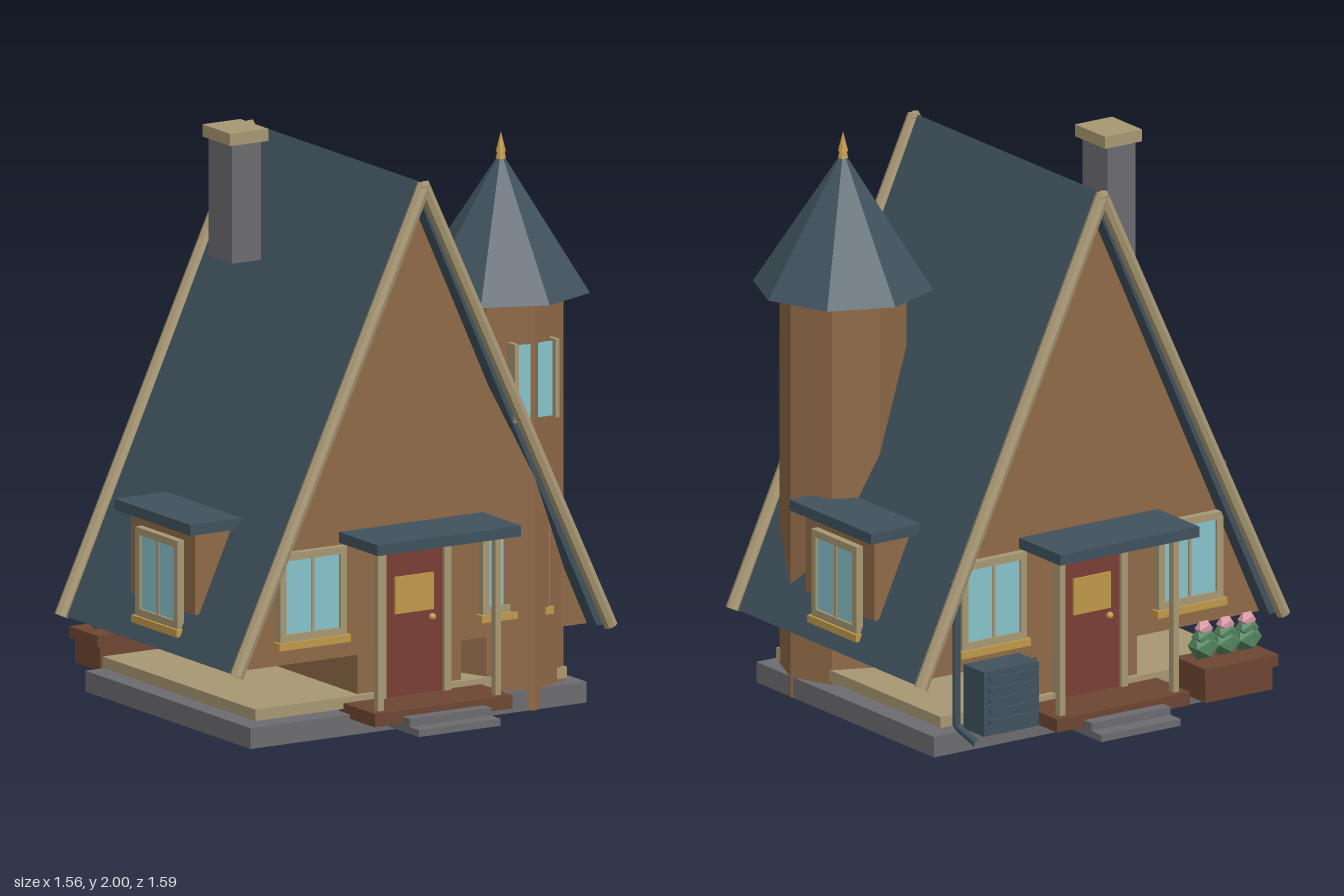
import * as THREE from 'three';

const mat = (name, color) => {
  const m = new THREE.MeshStandardMaterial({ color });
  m.name = name;
  return m;
};

export function createModel() {
  const wall = mat('timber brown', 0x8f6a48);
  const slate = mat('slate blue', 0x40525d);
  const trim = mat('cream trim', 0xa89873);
  const gold = mat('brass gold', 0xc0994a);
  const glass = mat('pale glass', 0x88c3cb);
  const doorRed = mat('door red', 0x7b3e36);
  const stone = mat('stone grey', 0x6c6c70);
  const darkWood = mat('dark wood', 0x6e4632);
  const leaf = mat('leaf green', 0x548560);
  const petal = mat('petal pink', 0xd898a4);

  const house = new THREE.Group();
  house.name = 'house';

  const add = (parent, name, geo, material) => {
    const m = new THREE.Mesh(geo, material);
    m.name = name;
    parent.add(m);
    return m;
  };
  // Box given by its minimum and maximum on each axis
  const box = (parent, name, material, x0, x1, y0, y1, z0, z1) => {
    const m = add(parent, name, new THREE.BoxGeometry(x1 - x0, y1 - y0, z1 - z0), material);
    m.position.set((x0 + x1) / 2, (y0 + y1) / 2, (z0 + z1) / 2);
    return m;
  };
  const faceted = (geo) => {
    const g = geo.toNonIndexed();
    g.computeVertexNormals();
    return g;
  };
  // Faceted cylinder or cone standing at x, y0, z
  const column = (parent, name, material, rTop, rBottom, x, y0, y1, z, sides = 8) => {
    const m = add(parent, name, faceted(new THREE.CylinderGeometry(rTop, rBottom, y1 - y0, sides)), material);
    m.position.set(x, (y0 + y1) / 2, z);
    return m;
  };
  // Outline in x, y extruded evenly about z = 0
  const slab = (name, material, points, depth) => {
    const shape = new THREE.Shape(points.map(([x, y]) => new THREE.Vector2(x, y)));
    const geo = new THREE.ExtrudeGeometry(shape, { depth, bevelEnabled: false });
    geo.translate(0, 0, -depth / 2);
    return add(house, name, geo, material);
  };
  // Two-pane window with sill; its back lies on local z = 0
  const makeWindow = (parent, x, y, z, turn) => {
    const g = new THREE.Group();
    g.name = 'window';
    const w = 0.135, h = 0.155, b = 0.026;
    for (const s of [-1, 1]) {
      const side = s * (w - b / 2), rail = s * (h - b / 2);
      box(g, 'frameSide', trim, side - b / 2, side + b / 2, -h, h, 0, 0.027);
      box(g, 'frameRail', trim, -w + b, w - b, rail - b / 2, rail + b / 2, 0, 0.027);
      const p = s * 0.057;
      box(g, 'pane', glass, p - 0.052, p + 0.052, -h + b, h - b, 0.01, 0.018);
    }
    box(g, 'mullion', trim, -0.006, 0.006, -h + b, h - b, 0, 0.022);
    box(g, 'sill', gold, -0.145, 0.145, -h - 0.026, -h, 0, 0.037);
    g.position.set(x, y, z);
    g.rotation.y = turn;
    parent.add(g);
  };

  // Base, floor and ground-floor core
  box(house, 'foundation', stone, -0.68, 0.68, 0, 0.073, -0.53, 0.53);
  box(house, 'floor', trim, -0.635, 0.625, 0.085, 0.125, -0.49, 0.49);
  box(house, 'lowerCore', wall, -0.21, 0.21, 0.11, 0.28, -0.47, 0.47);

  // Triangular body under two roof slabs
  slab('gableBody', wall, [[-0.712, 0.265], [0.712, 0.265], [0, 1.84]], 0.96);
  for (const s of [-1, 1]) {
    const pts = [[0, 1.91], [0, 1.838], [s * 0.714, 0.268], [s * 0.748, 0.268]];
    slab('roofSlope', slate, s > 0 ? pts : pts.reverse(), 1.08);
  }

  // Faceted poles along the gable edges
  const up = new THREE.Vector3(0, 1, 0);
  for (const z of [-0.562, 0.562]) {
    for (const s of [-1, 1]) {
      const a = new THREE.Vector3(s * 0.757, 0.268, z);
      const b = new THREE.Vector3(-s * 0.004, 1.905, z);
      const d = b.clone().sub(a);
      const pole = add(house, 'gablePole', faceted(new THREE.CylinderGeometry(0.025, 0.025, d.length(), 8)), trim);
      pole.position.copy(a).add(b).multiplyScalar(0.5);
      pole.quaternion.setFromUnitVectors(up, d.normalize());
    }
  }

  // Same entrance on the front and the back
  for (const turn of [0, Math.PI]) {
    const e = new THREE.Group();
    e.name = turn ? 'backEntrance' : 'frontEntrance';
    e.rotation.y = turn;
    house.add(e);
    box(e, 'porchDeck', darkWood, -0.278, 0.278, 0.058, 0.105, 0.46, 0.69);
    box(e, 'upperStep', stone, -0.165, 0.165, 0.055, 0.083, 0.6, 0.735);
    box(e, 'lowerStep', stone, -0.165, 0.165, 0.03, 0.055, 0.6, 0.793);
    box(e, 'porchRoof', slate, -0.29, 0.29, 0.667, 0.705, 0.47, 0.727);
    for (const s of [-1, 1]) {
      box(e, 'porchPost', trim, s * 0.237 - 0.012, s * 0.237 + 0.012, 0.105, 0.667, 0.64, 0.665);
      box(e, 'doorJamb', trim, s * 0.131 - 0.014, s * 0.131 + 0.014, 0.105, 0.65, 0.47, 0.51);
      makeWindow(e, s * 0.41, 0.505, 0.48, 0);
    }
    box(e, 'doorLintel', trim, -0.117, 0.117, 0.62, 0.65, 0.47, 0.51);
    box(e, 'door', doorRed, -0.117, 0.117, 0.105, 0.62, 0.47, 0.497);
    box(e, 'doorPanel', gold, -0.078, 0.078, 0.395, 0.525, 0.497, 0.504);
    add(e, 'doorKnob', new THREE.SphereGeometry(0.013, 10, 8), gold).position.set(0.07, 0.37, 0.508);
  }

  // Side dormers
  for (const s of [-1, 1]) {
    const d = new THREE.Group();
    d.name = 'dormer';
    d.rotation.y = s > 0 ? 0 : Math.PI;
    house.add(d);
    box(d, 'dormerBody', wall, 0.48, 0.7, 0.41, 0.7, -0.205, 0.205);
    box(d, 'dormerRoof', slate, 0.5, 0.742, 0.7, 0.738, -0.243, 0.243);
    makeWindow(d, 0.7, 0.505, 0, Math.PI / 2);
  }

  // Eight-sided corner tower
  const tx = 0.465, tz = 0.32;
  column(house, 'tower', wall, 0.22, 0.22, tx, 0, 1.44, tz);
  column(house, 'towerRoof', slate, 0, 0.313, tx, 1.438, 1.92, tz);
  column(house, 'finialBase', gold, 0.012, 0.018, tx, 1.895, 1.925, tz);
  column(house, 'finialSpike', gold, 0, 0.018, tx, 1.92, 1.99, tz);
  for (const s of [-1, 1]) {
    const x = tx + s * 0.082, p = tx + s * 0.038;
    box(house, 'towerWindowJamb', trim, x - 0.008, x + 0.008, 1.02, 1.295, 0.49, 0.553);
    box(house, 'towerPane', glass, p - 0.036, p + 0.036, 1.025, 1.285, 0.526, 0.534);
  }

  // Chimney
  box(house, 'chimney', stone, -0.35, -0.232, 1.54, 1.958, -0.262, -0.112);
  box(house, 'chimneyCap', trim, -0.366, -0.212, 1.957, 2.0, -0.277, -0.098);

  // Planter with three flowering bushes
  box(house, 'planter', darkWood, -0.61, -0.33, 0.06, 0.16, -0.708, -0.545);
  box(house, 'planterRim', darkWood, -0.625, -0.318, 0.145, 0.186, -0.722, -0.54);
  for (const x of [-0.56, -0.47, -0.38]) {
    const bush = add(house, 'bush', new THREE.IcosahedronGeometry(0.054, 0), leaf);
    bush.position.set(x, 0.236, -0.622);
    const lump = add(house, 'bushTop', new THREE.IcosahedronGeometry(0.042, 0), leaf);
    lump.position.set(x, 0.268, -0.625);
    const bloom = add(house, 'bloom', new THREE.IcosahedronGeometry(0.032, 0), petal);
    bloom.position.set(x, 0.298, -0.625);
  }

  // Cooling unit with louvres
  box(house, 'coolingUnit', slate, 0.34, 0.57, 0.09, 0.32, -0.672, -0.55);
  for (let i = 0; i < 5; i++) {
    const y = 0.13 + i * 0.038;
    box(house, 'louvre', slate, 0.36, 0.55, y, y + 0.016, -0.682, -0.67);
  }

  // Drainpipe
  const pipe = new THREE.CurvePath();
  const bends = [[0.59, 0.6, -0.51], [0.59, 0.59, -0.535], [0.59, 0.095, -0.535], [0.59, 0.06, -0.66]]
    .map((p) => new THREE.Vector3(...p));
  for (let i = 0; i < 3; i++) pipe.add(new THREE.LineCurve3(bends[i], bends[i + 1]));
  const pipeMesh = add(house, 'drainpipe', new THREE.TubeGeometry(pipe, 40, 0.014, 8), slate);
  pipeMesh.position.y = 0.005;

  return house;
}
